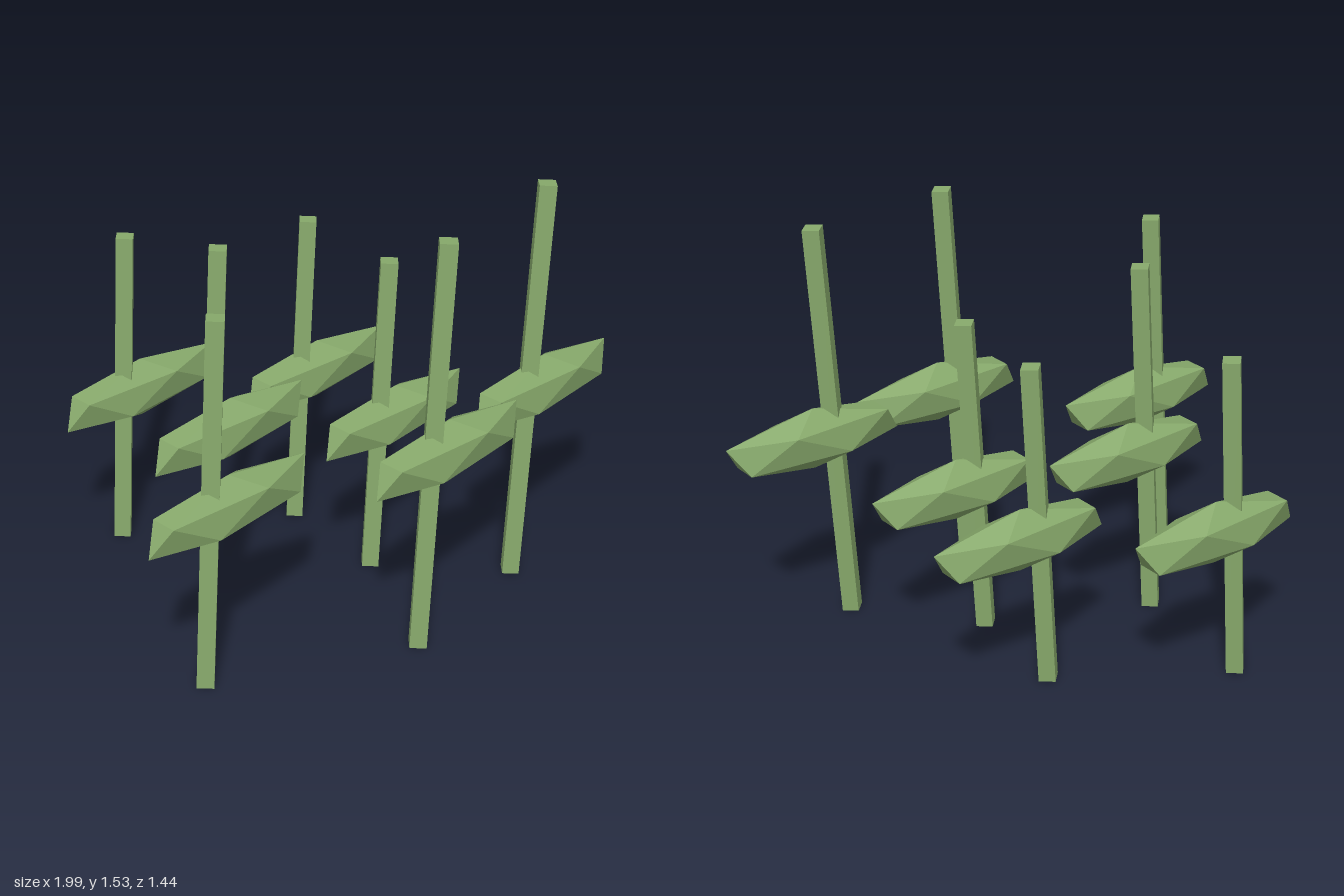
import * as THREE from 'three';

const LEAN = 0.06;          // sideways lean of every stem
const STEM_RADIUS = 0.043;

export function createModel() {
  const green = new THREE.MeshStandardMaterial({ color: 0x87a96b, flatShading: true });
  green.name = 'plant green';

  // Leaf clump: icosahedron standing on a corner, stretched along x
  const leafGeometry = new THREE.IcosahedronGeometry(1, 0);
  leafGeometry.rotateZ(-Math.atan(2 / (1 + Math.sqrt(5))));
  leafGeometry.scale(0.398, 0.117, 0.093);

  // Leaf centre x, z and overall height of each plant
  const plants = [
    [-0.64, 0.283, 1.375],
    [-0.278, -0.09, 1.375],
    [0.047, 0.642, 1.53],
    [0.637, 0.57, 1.53],
    [0.299, 0.168, 1.222],
    [0.35, -0.28, 1.222],
    [-0.213, -0.642, 1.222],
  ];

  const model = new THREE.Group();
  model.name = 'plantCluster';

  plants.forEach(([x, z, height], i) => {
    const plant = new THREE.Group();
    plant.name = `plant${i + 1}`;
    plant.position.set(x, 0, z);

    // Square stem, leaning, with its lowest corner on the ground
    const length = (height - 2 * STEM_RADIUS * Math.sin(LEAN)) / Math.cos(LEAN);
    const stem = new THREE.Mesh(
      new THREE.CylinderGeometry(STEM_RADIUS, STEM_RADIUS, length, 4), green);
    stem.name = 'stem';
    stem.position.set(-0.083, height / 2, 0);
    stem.rotation.z = -LEAN;

    const leaf = new THREE.Mesh(leafGeometry, green);
    leaf.name = 'leaf';
    leaf.position.y = height * 0.483;

    plant.add(stem, leaf);
    model.add(plant);
  });

  return model;
}
